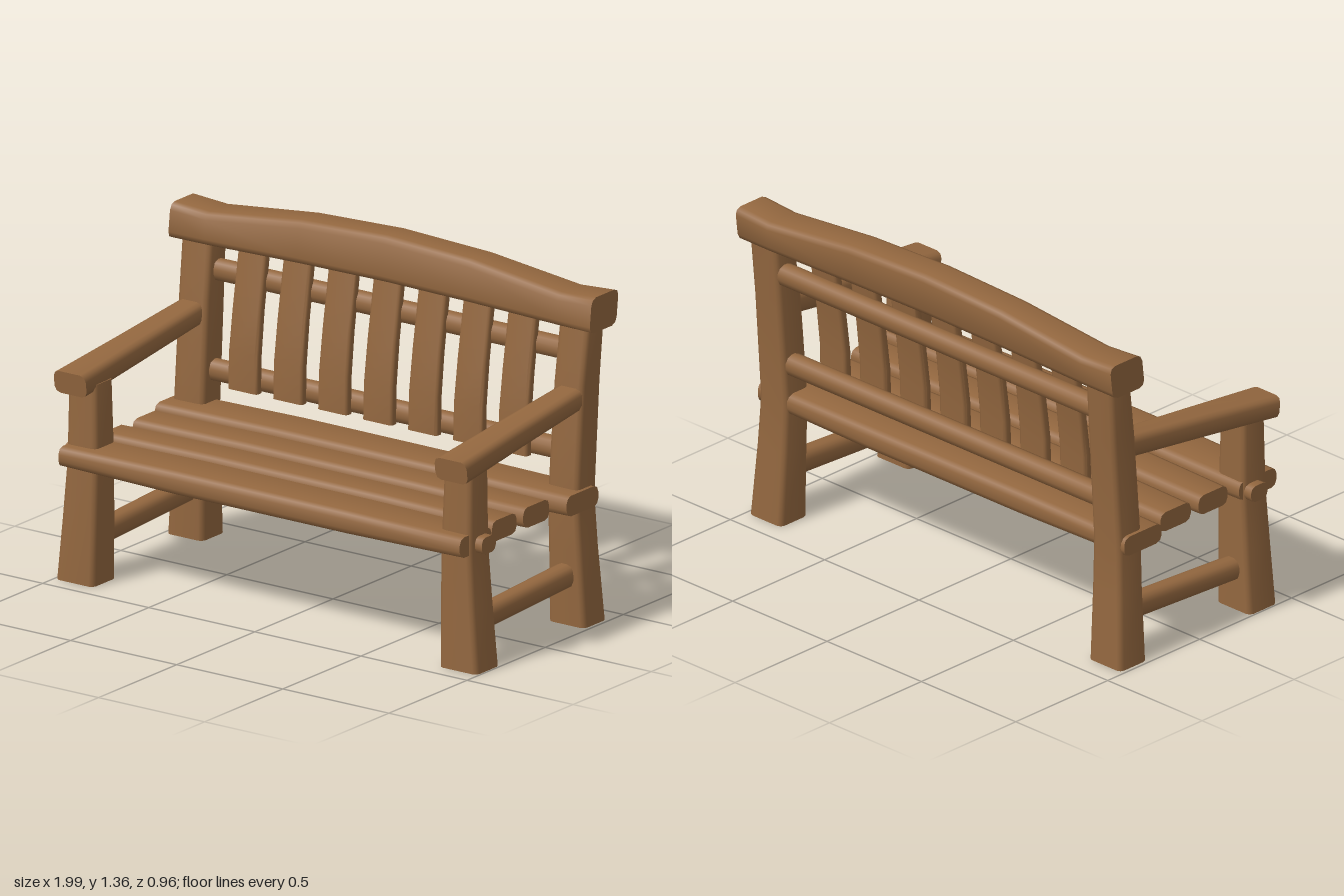
import * as THREE from 'three';
import { toCreasedNormals } from 'three/addons/utils/BufferGeometryUtils.js';

const wood = new THREE.MeshStandardMaterial({ color: 0x93673f });
wood.name = 'brown wood';

// Rounded-rectangle beam lofted along an axis (0 = x, 1 = y, 2 = z).
// Stations: [t, uMin, uMax, vMin, vMax]; u and v are the next two axes in cyclic order.
// lean shifts v with u; slant tilts the end cuts along v.
function beam(name, axis, stations, { r = 0.02, lean = 0, slant = 0 } = {}) {
  const pos = [], idx = [], N = 12;
  const put = (t, u, v) => {
    const p = [0, 0, 0];
    p[axis] = t; p[(axis + 1) % 3] = u; p[(axis + 2) % 3] = v;
    pos.push(...p);
  };
  for (const [t, u0, u1, v0, v1] of stations) {
    const uc = (u0 + u1) / 2, vc = (v0 + v1) / 2;
    const hu = (u1 - u0) / 2, hv = (v1 - v0) / 2, rr = Math.min(r, hu, hv);
    for (let i = 0; i < N; i++) {
      const c = Math.floor(i / 3), a = (c + (i % 3) / 2) * Math.PI / 2;
      const su = c === 0 || c === 3 ? 1 : -1, sv = c < 2 ? 1 : -1;
      const du = su * (hu - rr) + rr * Math.cos(a), dv = sv * (hv - rr) + rr * Math.sin(a);
      put(t + slant * dv, uc + du, vc + dv + lean * du);
    }
  }
  const last = stations.length - 1;
  for (let s = 0; s < last; s++) for (let i = 0; i < N; i++) {
    const a = s * N + i, b = s * N + (i + 1) % N;
    idx.push(a, b, b + N, a, b + N, a + N);
  }
  for (let i = 1; i < N - 1; i++) {
    idx.push(0, i + 1, i);
    idx.push(last * N, last * N + i, last * N + i + 1);
  }
  const g = new THREE.BufferGeometry();
  g.setAttribute('position', new THREE.Float32BufferAttribute(pos, 3));
  g.setIndex(idx);
  const mesh = new THREE.Mesh(toCreasedNormals(g, 0.9), wood);
  mesh.name = name;
  return mesh;
}

export function createModel() {
  const bench = new THREE.Group();
  bench.name = 'gardenBench';

  // Legs, arms and side rails, once per side
  for (const s of [1, -1]) {
    const side = new THREE.Group();
    side.name = s > 0 ? 'leftSide' : 'rightSide';
    const x = (a, b) => (s > 0 ? [a, b] : [-b, -a]);
    side.add(
      beam('frontLeg', 1, [
        [0, 0.28, 0.43, ...x(0.815, 0.993)],
        [0.25, 0.283, 0.425, ...x(0.812, 0.97)],
        [0.48, 0.287, 0.418, ...x(0.81, 0.953)],
        [0.8, 0.29, 0.41, ...x(0.82, 0.95)],
      ]),
      beam('backLeg', 1, [
        [0, -0.415, -0.27, ...x(0.815, 0.985)],
        [0.3, -0.398, -0.267, ...x(0.812, 0.965)],
        [0.5, -0.39, -0.263, ...x(0.81, 0.955)],
        [0.95, -0.422, -0.298, ...x(0.815, 0.955)],
        [1.2, -0.442, -0.33, ...x(0.82, 0.96)],
      ]),
      beam('armrest', 2, [
        [-0.33, ...x(0.835, 0.95), 0.855, 0.943],
        [0.1, ...x(0.828, 0.96), 0.803, 0.893],
        [0.463, ...x(0.822, 0.973), 0.76, 0.85],
      ], { r: 0.025, slant: 0.13 }),
      beam('sideRail', 2, [
        [-0.3, ...x(0.85, 0.935), 0.152, 0.245],
        [0.31, ...x(0.85, 0.935), 0.122, 0.21],
      ], { r: 0.03 }),
      beam('peg', 0, [
        [Math.min(...x(0.9, 0.985)), 0.463, 0.53, 0.295, 0.385],
        [Math.max(...x(0.9, 0.985)), 0.463, 0.53, 0.295, 0.385],
      ], { r: 0.025 }),
    );
    bench.add(side);
  }

  // Seat slats: [z min, z max, half length]
  [[0.265, 0.478, 0.945], [0.07, 0.238, 0.92], [-0.138, 0.038, 0.92], [-0.385, -0.172, 0.97]]
    .forEach(([z0, z1, h], i) => bench.add(beam('seatSlat' + (i + 1), 0, [
      [-h, 0.465, 0.545, z0 + 0.006, z1 - 0.004],
      [-0.4, 0.457, 0.552, z0, z1],
      [0.4, 0.457, 0.55, z0, z1],
      [h, 0.463, 0.545, z0 + 0.004, z1 - 0.006],
    ], { r: 0.028 })));

  // Cross rails of the backrest
  for (const [name, y, z] of [['lowerBackRail', 0.668, -0.35], ['upperBackRail', 1.057, -0.385]])
    bench.add(beam(name, 0, [-0.86, 0, 0.86].map((t) =>
      [t, y - 0.043, y + 0.043, z - 0.04, z + 0.04]), { r: 0.032 }));

  // Seven gently curved upright slats
  for (let i = -3; i <= 3; i++) {
    const c = i * 0.212;
    bench.add(beam('backSlat' + (i + 4), 1, [
      [0.63, -0.318, -0.28, c - 0.07, c + 0.07],
      [0.78, -0.322, -0.284, c - 0.069, c + 0.069],
      [0.95, -0.343, -0.305, c - 0.067, c + 0.067],
      [1.2, -0.385, -0.345, c - 0.065, c + 0.065],
    ], { r: 0.012 }));
  }

  // Arched top rail leaning backwards: [x, bottom, top, front z]
  bench.add(beam('topRail', 0, [
    [-0.993, 1.168, 1.308, -0.3], [-0.83, 1.168, 1.298, -0.303], [-0.4, 1.176, 1.345, -0.312],
    [0, 1.18, 1.36, -0.315], [0.4, 1.176, 1.345, -0.312], [0.83, 1.168, 1.298, -0.303],
    [0.993, 1.168, 1.308, -0.3],
  ].map(([t, a, b, f]) => [t, a, b, -0.472, f]), { r: 0.028, lean: -0.12 }));

  return bench;
}
